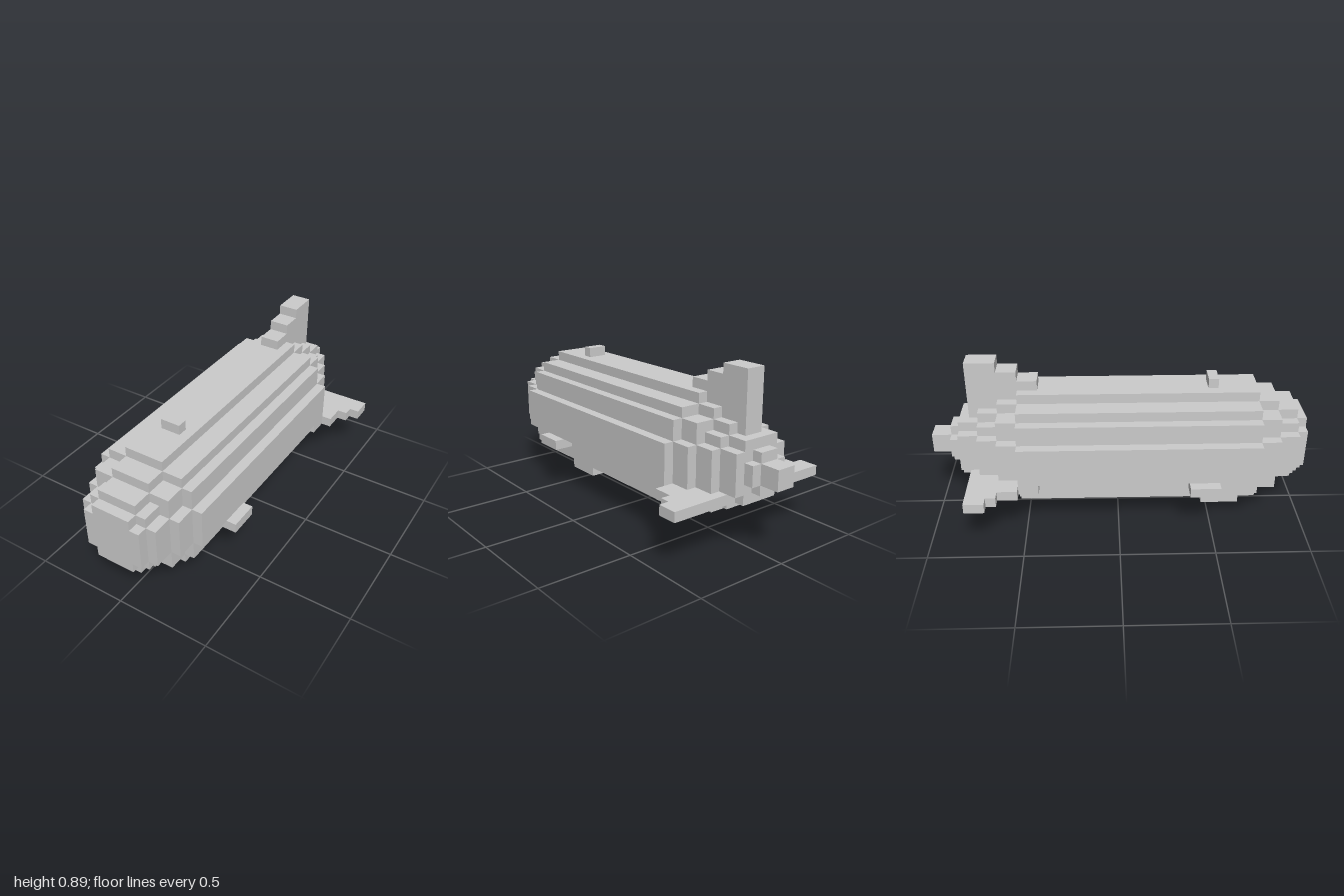
import * as THREE from 'three';

const U = 2 / 38; // one block
const AXIS = 8;   // height of the hull axis, in blocks
const material = new THREE.MeshStandardMaterial({ color: 0xcccccc, flatShading: true });

// Box given by its limits in blocks
function block(name, x0, x1, y0, y1, z0, z1) {
  const geo = new THREE.BoxGeometry((x1 - x0) * U, (y1 - y0) * U, (z1 - z0) * U);
  const mesh = new THREE.Mesh(geo, material);
  mesh.position.set((x0 + x1) / 2 * U, (y0 + y1) / 2 * U, (z0 + z1) / 2 * U);
  mesh.name = name;
  return mesh;
}

// Stepped round slice; steps are [half width, half height], widest first
function slice(name, z0, z1, steps) {
  const quarter = [];
  steps.forEach(([w, h], i) => {
    quarter.push([w, i ? steps[i - 1][1] : 0], [w, h]);
  });
  quarter.shift();
  const back = [...quarter].reverse();
  const outline = [
    ...quarter,
    ...back.map(([x, y]) => [-x, y]),
    ...quarter.map(([x, y]) => [-x, -y]),
    ...back.map(([x, y]) => [x, -y]),
  ];
  const shape = new THREE.Shape(outline.map(([x, y]) => new THREE.Vector2(x * U, y * U)));
  const geo = new THREE.ExtrudeGeometry(shape, { depth: (z1 - z0) * U, bevelEnabled: false });
  const mesh = new THREE.Mesh(geo, material);
  mesh.position.set(0, AXIS * U, z0 * U);
  mesh.name = name;
  return mesh;
}

export function createModel() {
  const model = new THREE.Group();
  model.name = 'submarine';

  // Hull, from nose to tail
  const ring5 = [[5, 2], [4, 4], [2, 5]];
  const ring4 = [[4, 2], [3, 3], [2, 4]];
  const ring3 = [[3, 2], [2, 3]];
  const hull = new THREE.Group();
  hull.name = 'hull';
  hull.add(
    slice('noseTip', 18, 19, ring3),
    slice('noseMiddle', 16, 18, ring4),
    slice('noseBase', 14, 16, ring5),
    slice('midBody', -10, 14, [[6, 2], [5, 4], [4, 5], [2, 6]]),
    slice('tailBase', -12, -10, ring5),
    slice('tailMiddle', -14, -12, ring4),
    slice('tailEnd', -16, -14, ring3),
    slice('tailHub', -17, -16, [[2, 1], [1, 2]]),
    slice('tailTip', -19, -17, [[1, 1]]),
  );
  model.add(hull);

  // Upright tail fin, stepped up towards the back
  const tailFin = new THREE.Group();
  tailFin.name = 'tailFin';
  tailFin.add(
    block('finLow', -1, 1, 14, 15, -10, -8),
    block('finMiddle', -1, 1, 13, 16, -12, -10),
    block('finHigh', -1, 1, 11, 17, -15, -12),
  );
  model.add(tailFin);

  // Small block on top and the foot below
  model.add(block('topKnob', -1, 1, 14, 15, 9, 10));
  model.add(block('foot', -1, 1, 0, 2, 9, 13));

  // Side fins: [inner x, outer x, front z] for each step of the rear fin
  const finSteps = [[2, 6, -8], [6, 7, -10], [7, 8, -12], [8, 9, -13]];
  for (const [side, s] of [['left', 1], ['right', -1]]) {
    const span = (a, b) => (s > 0 ? [a, b] : [-b, -a]);
    const rearFin = new THREE.Group();
    rearFin.name = side + 'RearFin';
    finSteps.forEach(([a, b, front]) => {
      rearFin.add(block('finStep', ...span(a, b), 5, 6, -15, front));
    });
    model.add(rearFin);
    model.add(block(side + 'FrontFin', ...span(5, 7), 5, 6, 7, 10));
  }
  return model;
}
